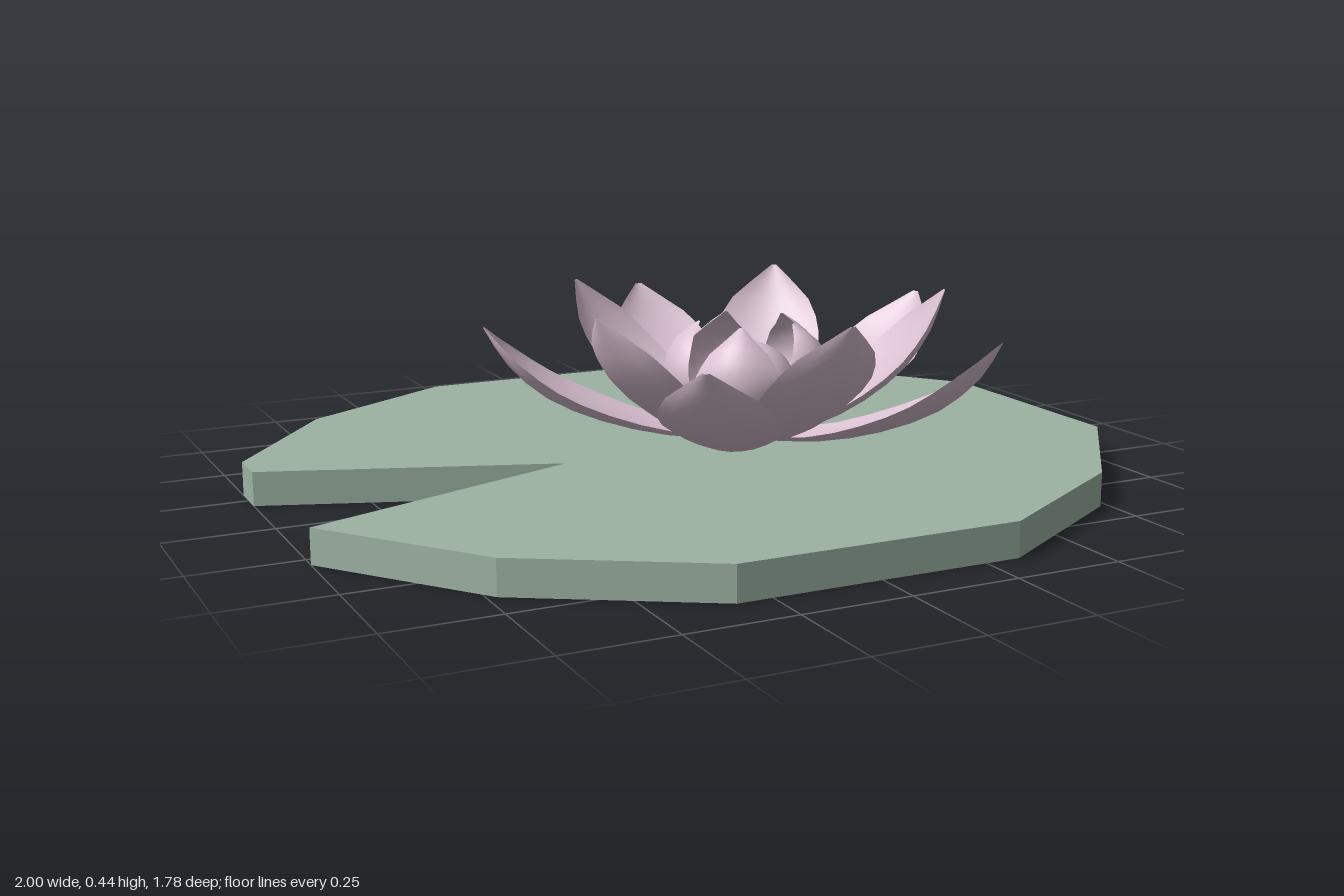
import * as THREE from 'three';
import { mergeGeometries } from 'three/addons/utils/BufferGeometryUtils.js';

const ROWS = 10, COLS = 8;

// Cupped petal growing along +z. Stations are [radius, height, half width];
// two sheets meet at the rim to make a thin closed leaf.
function petalGeometry(stations, cup, thickness) {
  const curve = new THREE.CatmullRomCurve3(stations.map(s => new THREE.Vector3(...s)));
  const sheet = upper => {
    const pos = [], index = [];
    for (let i = 0; i <= ROWS; i++) {
      const t = i / ROWS;
      const p = curve.getPoint(t), d = curve.getTangent(t);
      const len = Math.hypot(d.x, d.y);
      const nr = -d.y / len, ny = d.x / len;
      const w = Math.max(p.z, 0.004);
      for (let j = 0; j <= COLS; j++) {
        const u = (j / COLS) * 2 - 1;
        const lift = cup * w * u * u + (upper ? thickness * (1 - u * u) * Math.sin(Math.PI * t) : 0);
        pos.push(u * w, p.y + ny * lift, p.x + nr * lift);
      }
    }
    const n = COLS + 1;
    for (let i = 0; i < ROWS; i++) for (let j = 0; j < COLS; j++) {
      const a = i * n + j, b = a + n, c = b + 1, e = a + 1;
      if (upper) index.push(a, b, c, a, c, e);
      else index.push(a, c, b, a, e, c);
    }
    const g = new THREE.BufferGeometry();
    g.setAttribute('position', new THREE.Float32BufferAttribute(pos, 3));
    g.setIndex(index);
    g.computeVertexNormals();
    return g;
  };
  return mergeGeometries([sheet(true), sheet(false)]);
}

export function createModel() {
  const model = new THREE.Group();
  model.name = 'waterLily';
  const green = new THREE.MeshStandardMaterial({ color: 0x9db3a3 });
  const pink = new THREE.MeshStandardMaterial({ color: 0xd9c0d1 });

  // Notched, many-sided floating leaf; outline points are [x, z]
  const outline = [
    [-0.33, -0.89], [0.33, -0.89], [0.73, -0.65], [1, -0.3], [1, 0.29], [0.73, 0.65], [0.33, 0.89],
    [-0.33, 0.89], [-0.73, 0.65], [-1, 0.29], [-0.33, 0.04], [-1, -0.2], [-1, -0.3], [-0.73, -0.65],
  ];
  const shape = new THREE.Shape(outline.map(([x, z]) => new THREE.Vector2(x, -z)));
  const padGeometry = new THREE.ExtrudeGeometry(shape, { depth: 0.08, bevelEnabled: false });
  padGeometry.rotateX(-Math.PI / 2);
  const pad = new THREE.Mesh(padGeometry, green);
  pad.name = 'lilyPad';
  model.add(pad);

  const flower = new THREE.Group();
  flower.name = 'flower';
  flower.position.set(0.16, 0, 0.01);
  model.add(flower);

  // Five petals per ring
  const ring = (name, geometry, start) => {
    const group = new THREE.Group();
    group.name = name;
    for (let k = 0; k < 5; k++) {
      const petal = new THREE.Mesh(geometry, pink);
      petal.name = 'petal';
      petal.rotation.y = start + (k * Math.PI * 2) / 5;
      group.add(petal);
    }
    flower.add(group);
  };

  // Low, long outer petals
  ring('outerPetals', petalGeometry([
    [0.04, 0.082, 0.05], [0.2, 0.098, 0.085], [0.36, 0.14, 0.125],
    [0.49, 0.2, 0.135], [0.58, 0.28, 0.1], [0.635, 0.37, 0.008],
  ], 0.3, 0.014), Math.PI);

  // Steeper middle petals
  ring('middlePetals', petalGeometry([
    [0.04, 0.084, 0.05], [0.16, 0.11, 0.09], [0.28, 0.17, 0.13],
    [0.38, 0.25, 0.135], [0.445, 0.34, 0.1], [0.485, 0.435, 0.006],
  ], 0.35, 0.014), 0);

  // Inner petals closing over the heart
  ring('innerPetals', petalGeometry([
    [0.05, 0.085, 0.04], [0.14, 0.12, 0.08], [0.195, 0.2, 0.105],
    [0.205, 0.27, 0.1], [0.175, 0.335, 0.07], [0.12, 0.375, 0.006],
  ], 0.45, 0.012), Math.PI);

  // Round heart
  const heart = new THREE.Mesh(new THREE.SphereGeometry(0.12, 20, 14), pink);
  heart.name = 'heart';
  heart.position.y = 0.2;
  flower.add(heart);

  return model;
}
